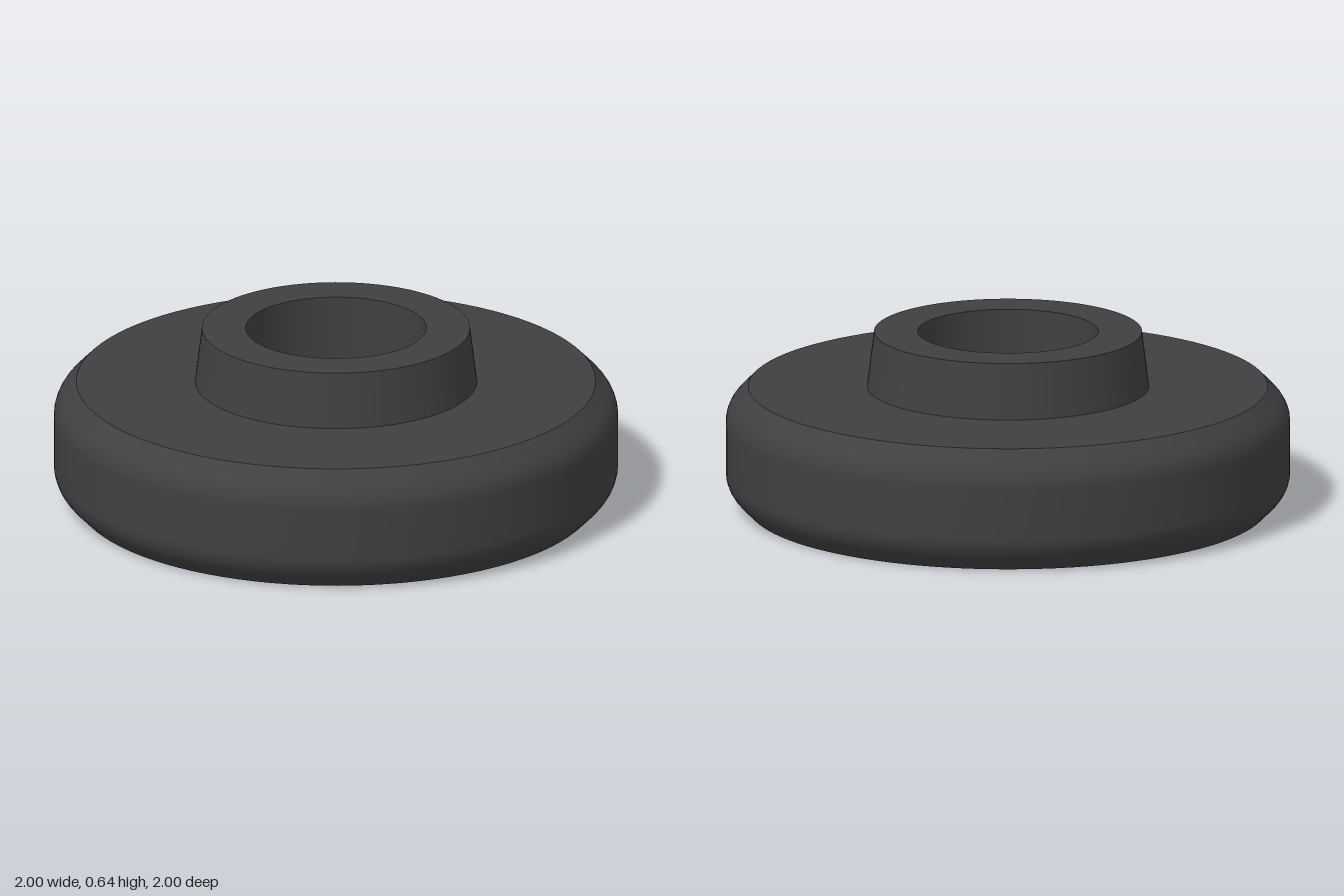
import * as THREE from 'three';

// 45 degree bevel followed by an arc that meets the wall tangentially.
// Starts at radius r0 on a flat face; offsets run into the wall by dir (+1 outward, -1 inward).
function softEdge(r0, dir) {
  const pts = [[r0, 0], [r0 + dir * 0.045, 0.045]];
  const R = 0.12;
  for (let i = 1; i <= 5; i++) {
    const a = (Math.PI / 4) * (1 - i / 5);
    pts.push([r0 + dir * (0.08 - R * (1 - Math.cos(a))), 0.13 - R * Math.sin(a)]);
  }
  return pts;
}

export function createModel() {
  const group = new THREE.Group();
  const rubber = new THREE.MeshStandardMaterial({ color: 0x404040 });
  rubber.name = 'dark rubber';

  // each surface is its own lathe, so the edges between them stay sharp
  const ring = (name, pts) => {
    const geo = new THREE.LatheGeometry(pts.map(([r, y]) => new THREE.Vector2(r, y)), 96);
    const mesh = new THREE.Mesh(geo, rubber);
    mesh.name = name;
    group.add(mesh);
  };

  const H = 0.44, TOP = 0.64;
  const lower = softEdge(0.92, 1);
  const upper = lower.map(([r, y]) => [r, H - y]).reverse();
  const flare = softEdge(0.4, -1).reverse();

  ring('discBottom', [[0.4, 0], [0.92, 0]]);
  ring('discRim', [...lower, ...upper]);
  ring('discTop', [[0.92, H], [0.5, H]]);
  ring('collarWall', [[0.5, H], [0.475, TOP]]);
  ring('collarTop', [[0.475, TOP], [0.32, TOP]]);
  ring('bore', [[0.32, TOP], ...flare]);

  return group;
}
